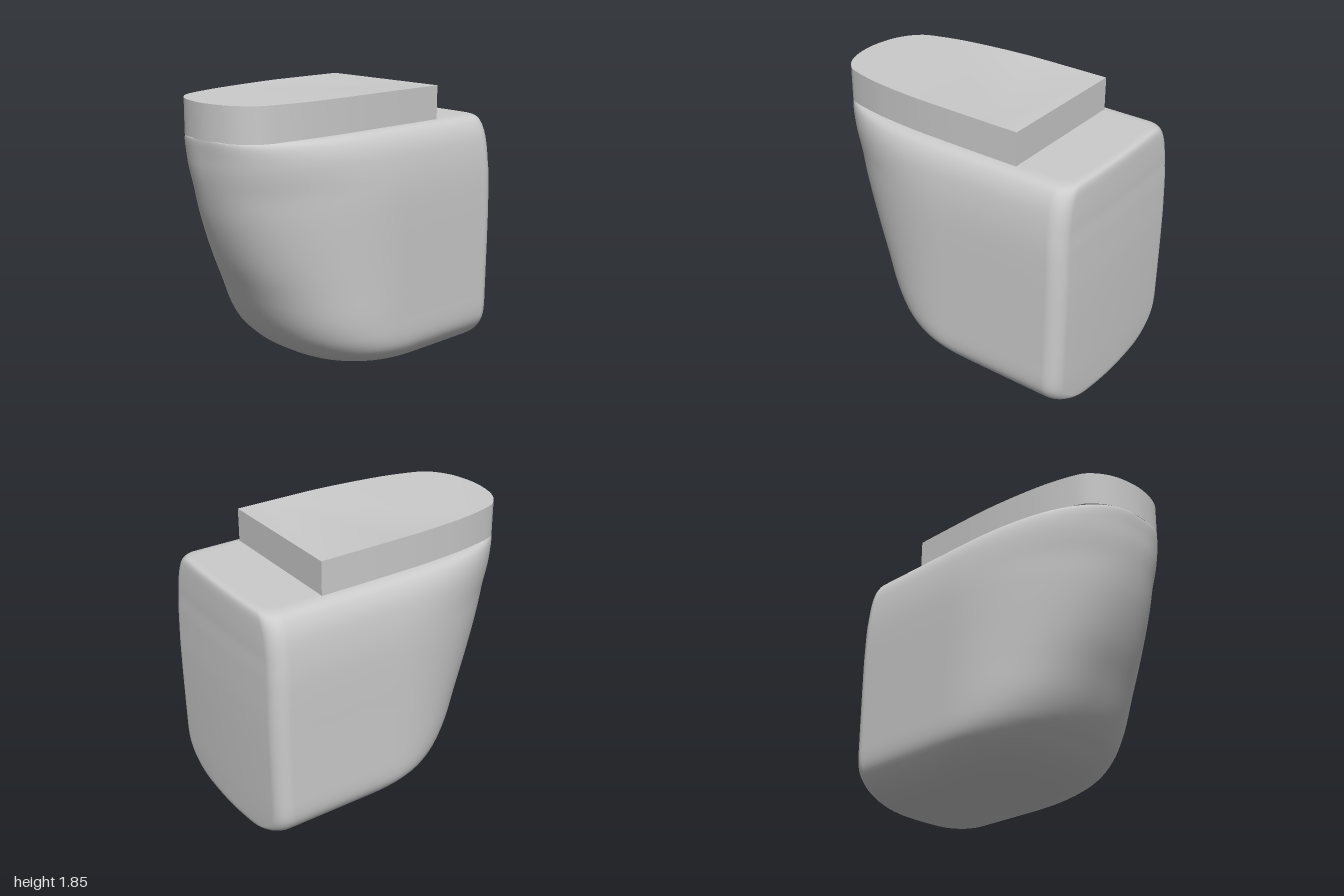
import * as THREE from 'three';
import { toCreasedNormals } from 'three/addons/utils/BufferGeometryUtils.js';

const material = new THREE.MeshStandardMaterial({ color: 0xcccccc });

// The upper surface drops slightly toward the rounded nose.
const noseDrop = (x) => 0.014 * Math.max(0, -x);

// Horizontal levels of the bowl:
// [height, nose x, back x, half width, x where the nose curve starts, nose squareness]
const levels = [
  [0.004, 0.5, 0.9, 0.06, 0.7, 2.4],
  [0.009, 0.28, 0.955, 0.2, 0.6, 2.4],
  [0.02, 0.08, 0.975, 0.31, 0.5, 2.4],
  [0.05, -0.1, 0.984, 0.43, 0.42, 2.4],
  [0.1, -0.26, 0.987, 0.53, 0.32, 2.4],
  [0.16, -0.37, 0.989, 0.595, 0.22, 2.4],
  [0.22, -0.44, 0.991, 0.628, 0.16, 2.4],
  [0.3, -0.52, 0.993, 0.64, 0.12, 2.4],
  [0.42, -0.6, 0.995, 0.641, 0.1, 2.4],
  [0.62, -0.7, 0.998, 0.641, 0.1, 2.3],
  [0.82, -0.8, 1.0, 0.641, 0.1, 2.2],
  [1.08, -0.9, 0.998, 0.641, 0.1, 2.15],
  [1.27, -0.95, 0.994, 0.636, 0.1, 2.15],
  [1.42, -0.98, 0.989, 0.62, 0.1, 2.3],
  [1.52, -0.99, 0.985, 0.598, 0.1, 2.45],
  [1.59, -0.997, 0.98, 0.563, 0.1, 2.6],
  [1.62, -0.998, 0.97, 0.53, 0.1, 2.7],
  [1.631, -0.995, 0.95, 0.49, 0.1, 2.8],
  [1.634, -0.98, 0.92, 0.45, 0.1, 2.9],
];

// Half an outline from nose to the middle of the back, on the +z side.
function halfOutline(nose, back, width, start, power) {
  const points = [];
  for (let i = 0; i <= 28; i++) {
    const a = (i / 28) * Math.PI / 2;
    const u = Math.pow(Math.max(0, Math.cos(a)), 2 / power);
    points.push([start - (start - nose) * u, width * Math.pow(Math.sin(a), 2 / power)]);
  }
  const r = Math.min(0.1, width * 0.8);
  const bulge = (z) => 0.02 * (1 - (z / width) ** 2);
  const corner = back - 0.02 - r;
  for (let i = 1; i < 5; i++) points.push([start + (corner - start) * i / 5, width]);
  for (let i = 0; i <= 8; i++) {
    const a = (i / 8) * Math.PI / 2;
    const z = width - r + r * Math.cos(a);
    points.push([corner + r * Math.sin(a) + bulge(z), z]);
  }
  for (let i = 1; i <= 6; i++) {
    const z = (width - r) * (1 - i / 6);
    points.push([back - 0.02 + bulge(z), z]);
  }
  return points;
}

function bowlGeometry() {
  const sideCurve = new THREE.CatmullRomCurve3(levels.map((l) => new THREE.Vector3(l[1], l[0], l[3])));
  const planCurve = new THREE.CatmullRomCurve3(levels.map((l) => new THREE.Vector3(l[2], l[4], l[5])));
  const rows = (levels.length - 1) * 3;
  const positions = [], index = [];
  let n = 0;
  for (let j = 0; j <= rows; j++) {
    const s = sideCurve.getPoint(j / rows), p = planCurve.getPoint(j / rows);
    const half = halfOutline(s.x, p.x, s.z, p.y, p.z);
    const mirrored = half.slice(1, -1).reverse().map(([x, z]) => [x, -z]);
    const ring = half.concat(mirrored);
    n = ring.length;
    for (const [x, z] of ring) positions.push(x, s.y - noseDrop(x) * s.y / 1.634, z);
  }
  for (let j = 0; j < rows; j++) {
    for (let i = 0; i < n; i++) {
      const a = j * n + i, b = j * n + (i + 1) % n;
      index.push(a, b, b + n, a, b + n, a + n);
    }
  }
  // Close the underside and the rim
  const bottom = positions.length / 3, top = bottom + 1, last = rows * n;
  positions.push(0.72, 0.002, 0, 0.1, 1.634, 0);
  for (let i = 0; i < n; i++) {
    const k = (i + 1) % n;
    index.push(bottom, k, i, top, last + i, last + k);
  }
  const geometry = new THREE.BufferGeometry();
  geometry.setAttribute('position', new THREE.Float32BufferAttribute(positions, 3));
  geometry.setIndex(index);
  geometry.computeVertexNormals();
  return geometry;
}

// Flat seat lid: round nose, nearly parallel sides, square rear edge
function lidGeometry() {
  const side = [[-1, 0], [-0.983, 0.14], [-0.945, 0.245], [-0.88, 0.33], [-0.8, 0.378],
    [-0.6, 0.428], [-0.4, 0.455], [-0.15, 0.474], [0.15, 0.48], [0.55, 0.48]];
  const left = side.slice(1).reverse().map(([x, z]) => new THREE.Vector2(x, -z));
  const right = side.map(([x, z]) => new THREE.Vector2(x, z));
  const outline = new THREE.SplineCurve([...left, ...right]).getPoints(108);
  const geometry = new THREE.ExtrudeGeometry(new THREE.Shape(outline), { depth: 0.226, bevelEnabled: false });
  geometry.rotateX(-Math.PI / 2);
  geometry.translate(0, 1.628, 0);
  const pos = geometry.attributes.position;
  for (let i = 0; i < pos.count; i++) pos.setY(i, pos.getY(i) - noseDrop(pos.getX(i)));
  return toCreasedNormals(geometry, 0.6);
}

export function createModel() {
  const group = new THREE.Group();
  group.name = 'wallHungToilet';
  const add = (name, geometry) => {
    const mesh = new THREE.Mesh(geometry, material);
    mesh.name = name;
    group.add(mesh);
  };
  add('bowl', bowlGeometry());
  add('lid', lidGeometry());
  return group;
}
